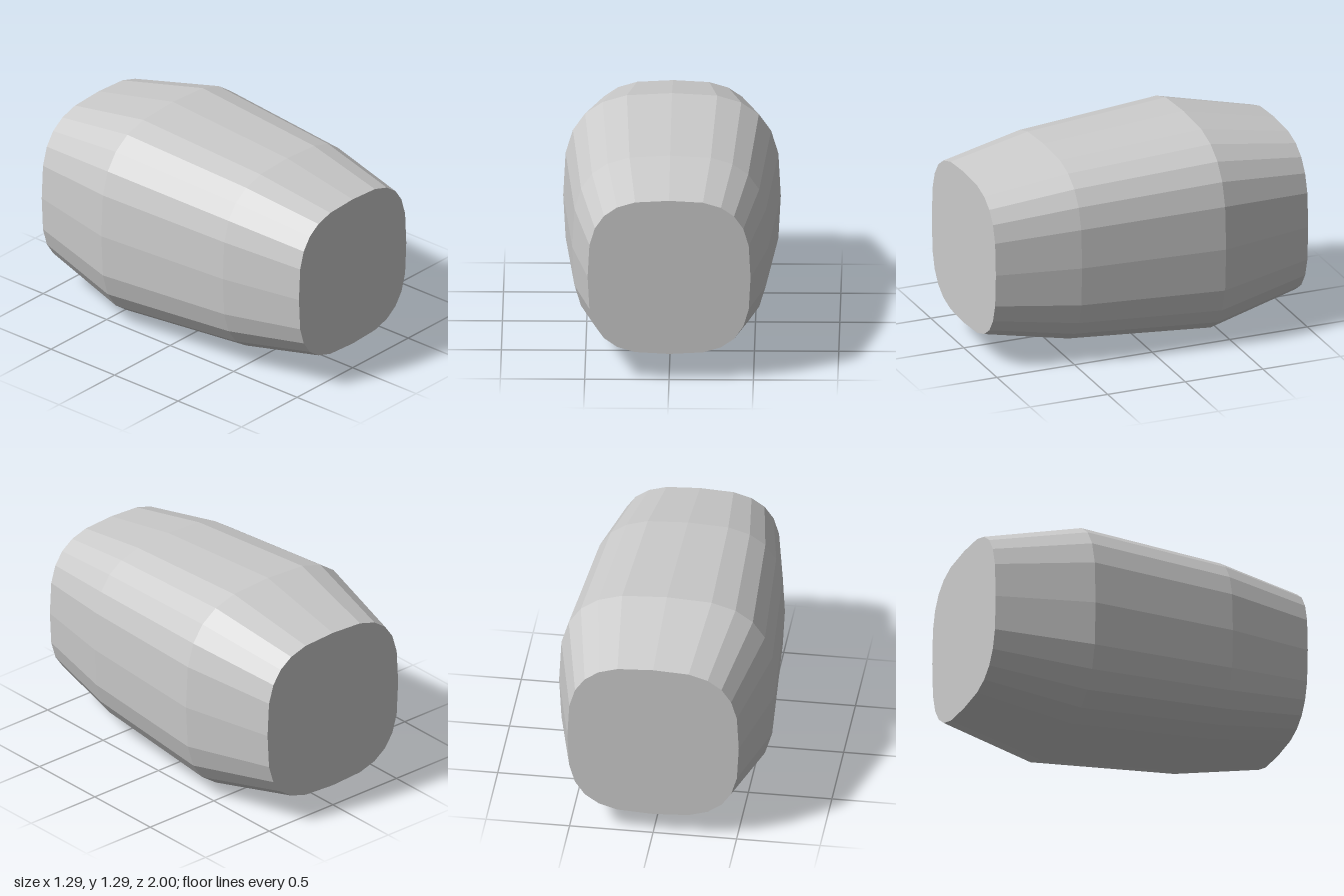
import * as THREE from 'three';

const CENTER_Y = 0.645;
const SQUARENESS = 0.65; // 1 gives a circle, lower values a squarer section

// [radius, z] from back to front, closed on the axis at both ends
const PROFILE = [[0, -1], [0.513, -1], [0.645, -0.415], [0.58, 0.485], [0.483, 1], [0, 1]];

const soften = (v) => Math.sign(v) * Math.abs(v) ** SQUARENESS;

export function createModel() {
  const group = new THREE.Group();
  group.name = 'roundedBarrel';

  // Lathe along z, then push every ring from a circle to a rounded square
  const geometry = new THREE.LatheGeometry(PROFILE.map(([r, z]) => new THREE.Vector2(r, z)), 24);
  geometry.rotateX(Math.PI / 2);
  const pos = geometry.attributes.position;
  for (let i = 0; i < pos.count; i++) {
    const x = pos.getX(i), y = pos.getY(i);
    const r = Math.hypot(x, y);
    if (r > 1e-6) pos.setXY(i, r * soften(x / r), r * soften(y / r));
  }
  geometry.translate(0, CENTER_Y, 0);
  geometry.computeVertexNormals();

  const body = new THREE.Mesh(
    geometry,
    new THREE.MeshStandardMaterial({ color: 0xcccccc, flatShading: true })
  );
  body.name = 'body';
  group.add(body);
  return group;
}
